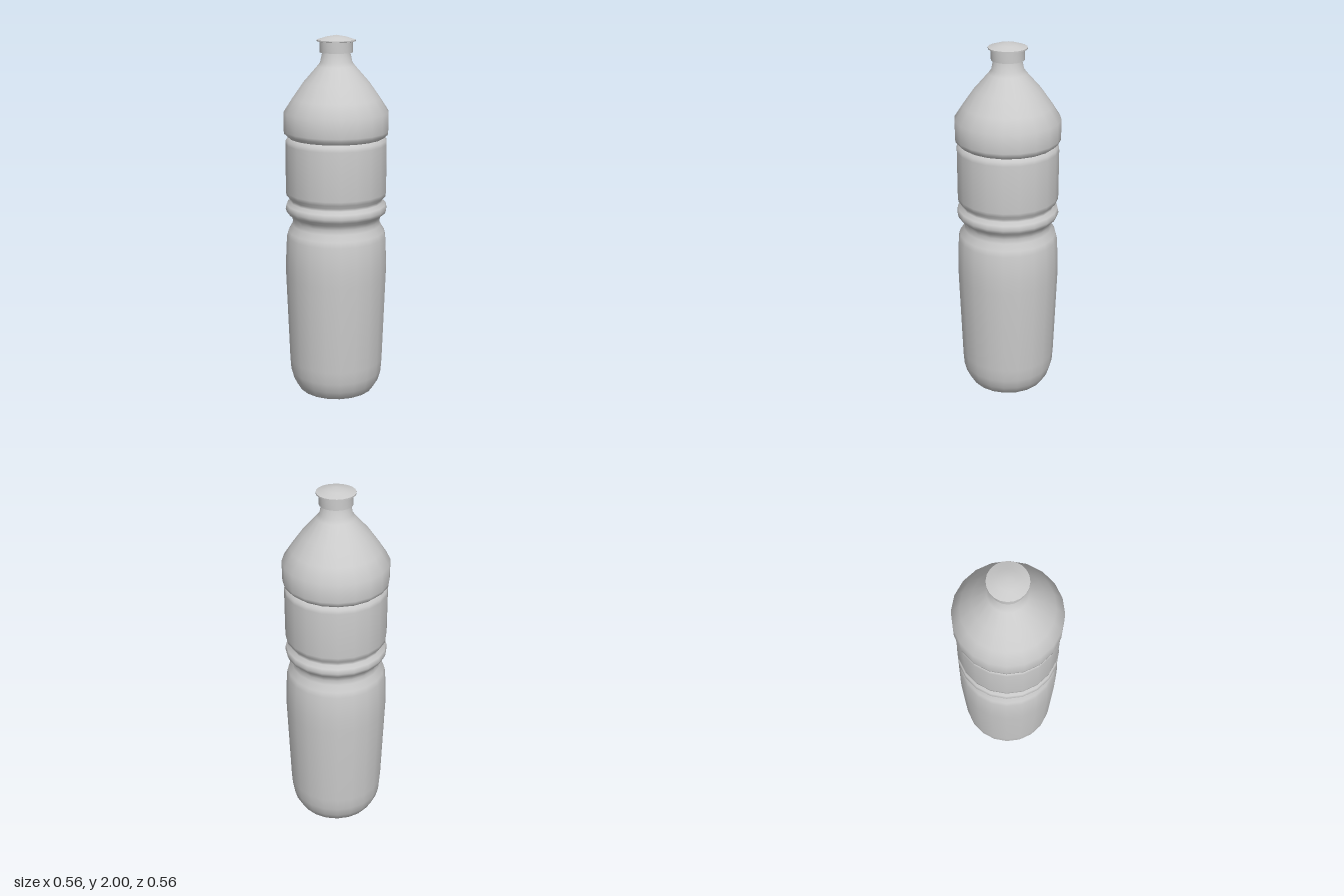
import * as THREE from 'three';
import { toCreasedNormals } from 'three/addons/utils/BufferGeometryUtils.js';

const SIDES = 20;

export function createModel() {
  const bottle = new THREE.Group();
  bottle.name = 'bottle';
  const material = new THREE.MeshStandardMaterial({ color: 0xcccccc, side: THREE.DoubleSide });

  // Turns a [radius, height] profile, bottom to top, about the y axis
  function turned(name, profile, crease) {
    const points = profile.map(([r, y]) => new THREE.Vector2(r, y));
    const geometry = toCreasedNormals(new THREE.LatheGeometry(points, SIDES), crease);
    const mesh = new THREE.Mesh(geometry, material);
    mesh.name = name;
    bottle.add(mesh);
  }

  // Flat underside
  turned('base', [[0, 0.003], [0.127, 0.003]], 0.5);

  // Lower grip, waist, rib, label band and shoulder in one skin
  turned('body', [
    [0.127, 0.003], [0.21, 0.035], [0.24, 0.085], [0.255, 0.14], [0.26, 0.21],
    [0.27, 0.5], [0.277, 0.7], [0.277, 0.78], [0.27, 0.92], [0.262, 0.95],
    [0.24, 0.985], [0.236, 1.01], [0.243, 1.035],
    [0.268, 1.055], [0.275, 1.075], [0.27, 1.1], [0.25, 1.115], [0.25, 1.13],
    [0.27, 1.15], [0.272, 1.17], [0.272, 1.43], [0.27, 1.45], [0.256, 1.465],
    [0.278, 1.485], [0.28, 1.5], [0.28, 1.6],
    [0.235, 1.67], [0.175, 1.755], [0.1, 1.84], [0.085, 1.86], [0.074, 1.91],
  ], 1.0);

  // Cap collar with its undercut rim
  turned('capCollar', [
    [0.07, 1.91], [0.087, 1.91], [0.087, 1.965], [0.1, 1.972],
  ], 0.6);

  // Shallow cone lid
  turned('capLid', [
    [0.085, 1.966], [0.102, 1.968], [0.102, 1.975], [0.055, 1.99], [0, 2],
  ], 0.6);

  return bottle;
}
